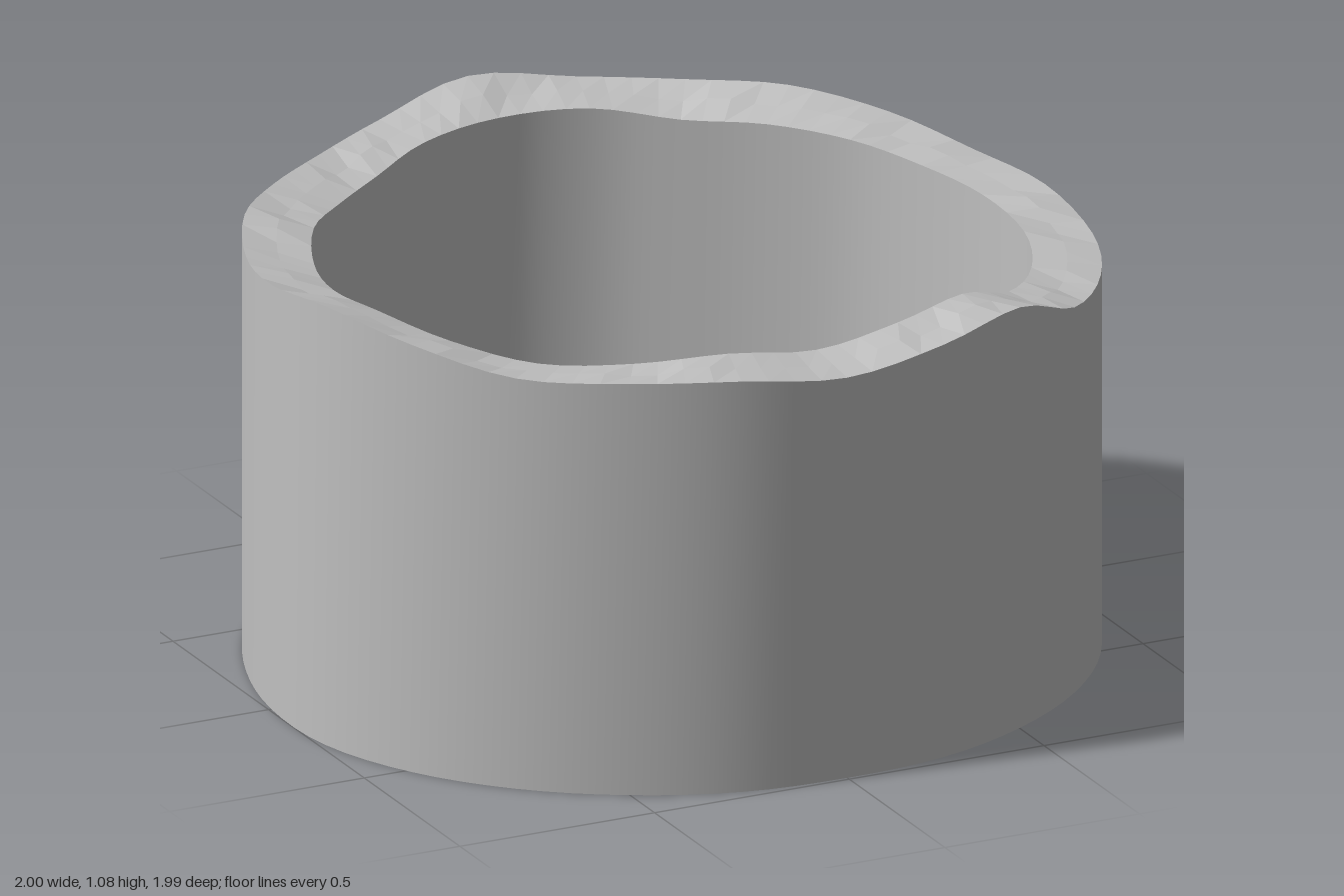
import * as THREE from 'three';

// samples every 15 degrees, starting at the front (+z) and turning towards +x
const HALF = [0.99, 1.0, 1.005, 1.015, 1.023, 1.02, 0.993, 0.968, 0.955, 0.937, 0.94, 0.975, 0.995];
const RADIUS = [...HALF, ...HALF.slice(1, -1).reverse()];
const RIM = [0.985, 1.015, 1.035, 0.948, 0.93, 0.935, 0.965, 0.975, 1.01, 1.04, 1.035, 1.035,
  1.06, 1.012, 1.005, 1.015, 1.03, 1.02, 1.045, 1.08, 1.052, 1.01, 1.012, 1.01];
const INNER_DROP = [0.015, 0.01, 0, 0.02, 0.015, 0.015, 0, 0, -0.02, -0.04, -0.04, -0.02,
  -0.05, -0.01, -0.02, -0.03, -0.03, -0.03, -0.04, -0.05, -0.04, -0.02, -0.01, 0.01];
const WALL = 0.16;
const SEGMENTS = 96;

// smooth periodic interpolation through a sample list
function sample(list, t) {
  const n = list.length, f = t * n, i = Math.floor(f), u = f - i;
  const [a, b, c, d] = [-1, 0, 1, 2].map(k => list[(i + k + n) % n]);
  return b + 0.5 * u * (c - a + u * (2 * a - 5 * b + 4 * c - d + u * (3 * (b - c) + d - a)));
}

// closed loop of points, inset from the outline, with a height rule
function ring(inset, height) {
  return Array.from({ length: SEGMENTS }, (_, i) => {
    const t = i / SEGMENTS, angle = t * Math.PI * 2, r = sample(RADIUS, t) - inset;
    return [Math.sin(angle) * r, height(t, i), Math.cos(angle) * r];
  });
}

// closed band through successive loops
function band(name, loops, material, faceted = false) {
  const index = [];
  for (let k = 0; k < loops.length - 1; k++) {
    for (let i = 0; i < SEGMENTS; i++) {
      const j = (i + 1) % SEGMENTS;
      const a = k * SEGMENTS + i, b = k * SEGMENTS + j, c = b + SEGMENTS, d = a + SEGMENTS;
      index.push(a, b, c, a, c, d);
    }
  }
  let geometry = new THREE.BufferGeometry();
  geometry.setAttribute('position', new THREE.Float32BufferAttribute(loops.flat(2), 3));
  geometry.setIndex(index);
  if (faceted) geometry = geometry.toNonIndexed();
  geometry.computeVertexNormals();
  const mesh = new THREE.Mesh(geometry, material);
  mesh.name = name;
  return mesh;
}

export function createModel() {
  const group = new THREE.Group();
  group.name = 'unevenRing';
  const grey = new THREE.MeshStandardMaterial({ color: 0xc0c0c0 });
  grey.name = 'light grey';

  const outerTop = ring(0, t => sample(RIM, t));
  const innerTop = ring(WALL, t => sample(RIM, t) + sample(INNER_DROP, t));
  // slightly rough ridge between the two edges of the rim
  const ridge = ring(WALL * 0.5, (t, i) =>
    sample(RIM, t) + 0.5 * sample(INNER_DROP, t) + 0.006 * Math.sin(Math.floor(i / 2) * 2.4));
  const outerBase = ring(0, () => 0);
  const innerBase = ring(WALL, () => 0);

  group.add(
    band('outerWall', [outerBase, outerTop], grey),
    band('brokenRim', [outerTop, ridge, innerTop], grey, true),
    band('innerWall', [innerTop, innerBase], grey),
    band('base', [innerBase, outerBase], grey, true),
  );
  return group;
}
